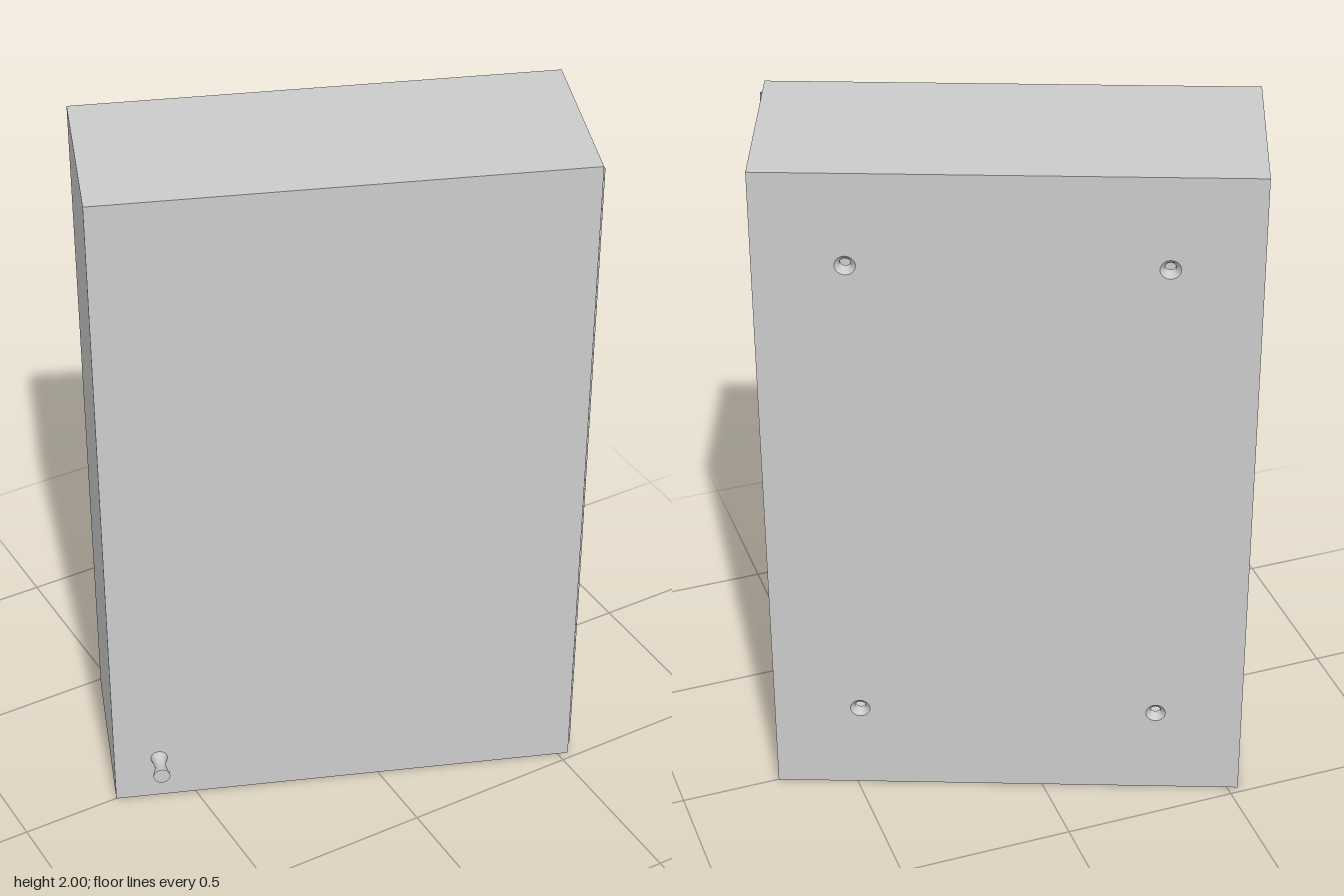
import * as THREE from 'three';
import { mergeGeometries } from 'three/addons/utils/BufferGeometryUtils.js';

const W = 1.334, H = 2, D = 0.516; // cabinet size
const T = 0.028;                   // panel thickness

export function createModel() {
  const root = new THREE.Group();
  root.name = 'wallCabinet';
  const cabinet = new THREE.Group();
  cabinet.name = 'cabinet';
  cabinet.rotation.y = -0.368; // the cabinet stands turned to one side
  root.add(cabinet);

  const mat = new THREE.MeshStandardMaterial({ color: 0xcccccc });
  const thin = new THREE.MeshStandardMaterial({ color: 0xcccccc, side: THREE.DoubleSide });

  const add = (name, geometry, x, y, z, material = mat) => {
    const mesh = new THREE.Mesh(geometry, material);
    mesh.name = name;
    mesh.position.set(x, y, z);
    cabinet.add(mesh);
    return mesh;
  };

  // Hollow case: sides, top and bottom between the back panel and the door
  const inner = D - 2 * T;
  for (const [side, s] of [['left', 1], ['right', -1]]) {
    add(side + 'Side', new THREE.BoxGeometry(T, H, inner), s * (W - T) / 2, H / 2, 0);
  }
  add('topPanel', new THREE.BoxGeometry(W - 2 * T, T, inner), 0, H - T / 2, 0);
  add('bottomPanel', new THREE.BoxGeometry(W - 2 * T, T, inner), 0, T / 2, 0);
  add('door', new THREE.BoxGeometry(W, H, T), 0, H / 2, (D - T) / 2);

  // Back panel with four countersunk mounting holes
  const back = new THREE.Shape([
    new THREE.Vector2(-W / 2, 0), new THREE.Vector2(W / 2, 0),
    new THREE.Vector2(W / 2, H), new THREE.Vector2(-W / 2, H),
  ]);
  const sinkProfile = [[0.028, 0], [0.015, 0.012], [0.015, T]].map(p => new THREE.Vector2(...p));
  for (const x of [-0.422, 0.422]) {
    for (const y of [0.27, 1.73]) {
      back.holes.push(new THREE.Path().absarc(x, y, 0.028, 0, Math.PI * 2, true));
      const sink = add('mountingHole', new THREE.LatheGeometry(sinkProfile, 24), x, y, -D / 2, thin);
      sink.rotation.x = Math.PI / 2;
    }
  }
  const backGeometry = new THREE.ExtrudeGeometry(back, { depth: T, bevelEnabled: false, curveSegments: 12 });
  add('backPanel', backGeometry, 0, 0, -D / 2);

  // Piano hinge: a row of knuckles around a thin pin
  const knuckles = [];
  const count = 65, pitch = 1.96 / count;
  for (let i = 0; i < count; i++) {
    knuckles.push(new THREE.CylinderGeometry(0.008, 0.008, pitch - 0.004, 12)
      .translate(0, 0.02 + (i + 0.5) * pitch, 0));
  }
  add('hingeKnuckles', mergeGeometries(knuckles), W / 2 + 0.003, 0, 0.23);
  add('hingePin', new THREE.CylinderGeometry(0.005, 0.005, 1.96, 12), W / 2 + 0.003, H / 2, 0.23);

  // Waisted door knob with a flat end
  const curve = new THREE.SplineCurve(
    [[0.024, 0], [0.018, 0.022], [0.0165, 0.04], [0.02, 0.06], [0.024, 0.074]]
      .map(p => new THREE.Vector2(...p)));
  const stem = new THREE.LatheGeometry(curve.getPoints(16), 32);
  const cap = new THREE.CylinderGeometry(0.024, 0.024, 0.006, 32).translate(0, 0.076, 0);
  const knob = add('doorKnob', mergeGeometries([stem, cap]), -0.538, 0.14, D / 2, thin);
  knob.rotation.x = Math.PI / 2;

  return root;
}
